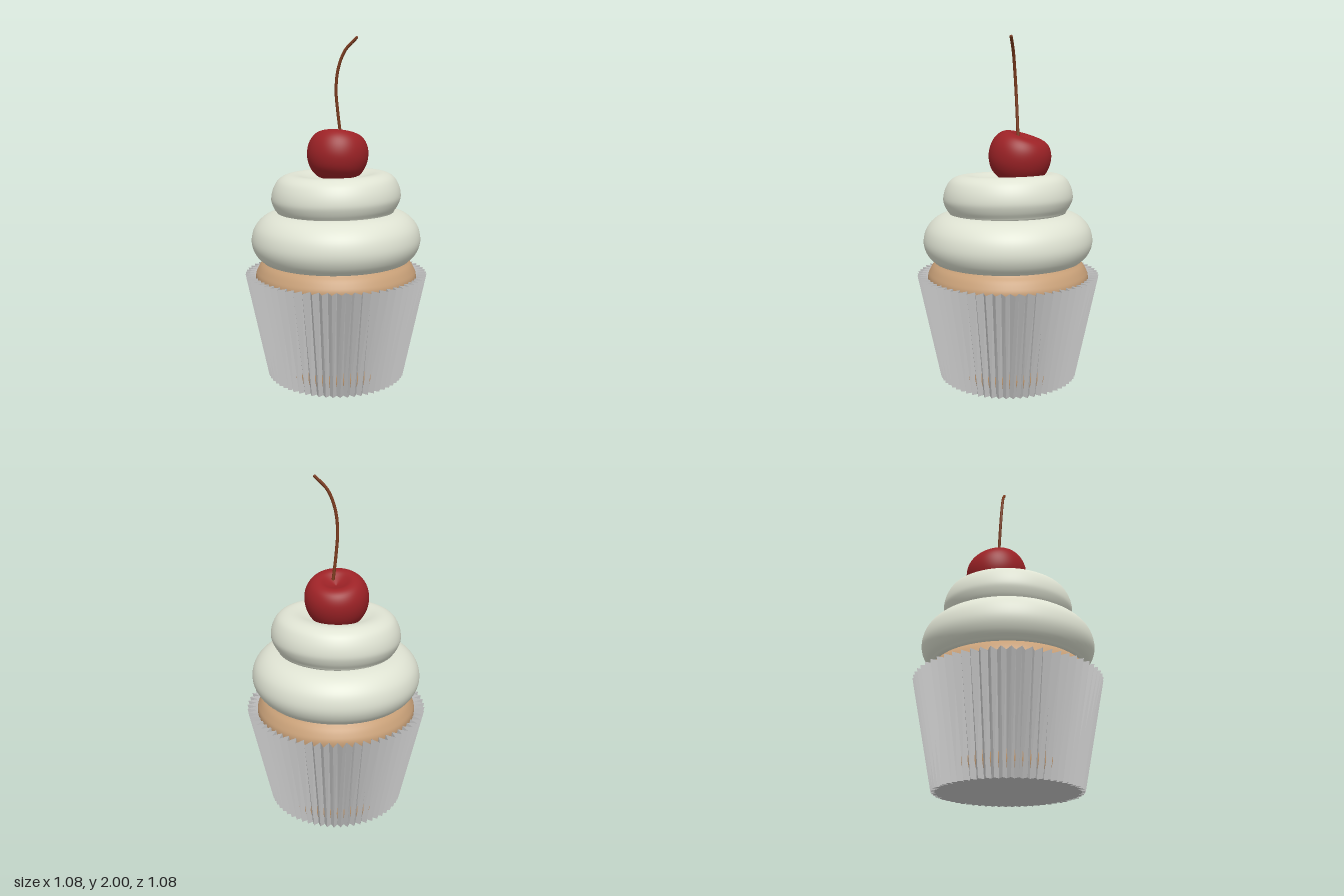
import * as THREE from 'three';

const material = (color, extra = {}) =>
  new THREE.MeshStandardMaterial({ color, ...extra });

// Smooth solid of revolution through a few [radius, height] points, bottom to top
function turned(name, points, mat, detail = 40) {
  const curve = new THREE.SplineCurve(points.map(([r, y]) => new THREE.Vector2(r, y)));
  const profile = curve.getPoints(detail).map(p => new THREE.Vector2(Math.max(p.x, 0), p.y));
  const mesh = new THREE.Mesh(new THREE.LatheGeometry(profile, 72), mat);
  mesh.name = name;
  return mesh;
}

// Lean a layer so that it rises gently towards +x and -z
function lean(mesh, slope) {
  const pos = mesh.geometry.attributes.position;
  for (let i = 0; i < pos.count; i++) {
    pos.setY(i, pos.getY(i) + slope * (pos.getX(i) - pos.getZ(i)));
  }
  mesh.geometry.computeBoundingSphere();
  return mesh;
}

// Pleated paper cup: zigzag rings joined by flat panels, with a flat base
function pleatedWrapper(pleats = 64) {
  const verts = [], faces = [];
  const n = pleats * 2;
  for (let i = 0; i < n; i++) {
    const a = (i / n) * Math.PI * 2;
    const outer = i % 2 === 0;
    const bottom = outer ? 0.41 : 0.38, top = outer ? 0.54 : 0.487;
    verts.push(bottom * Math.sin(a), 0, bottom * Math.cos(a));
    verts.push(top * Math.sin(a), 0.625, top * Math.cos(a));
  }
  verts.push(0, 0, 0);
  for (let i = 0; i < n; i++) {
    const a = 2 * i, b = 2 * ((i + 1) % n);
    faces.push(a, b, b + 1, a, b + 1, a + 1, 2 * n, b, a);
  }
  const geometry = new THREE.BufferGeometry();
  geometry.setAttribute('position', new THREE.Float32BufferAttribute(verts, 3));
  geometry.setIndex(faces);
  const flat = geometry.toNonIndexed();
  flat.computeVertexNormals();
  const mesh = new THREE.Mesh(flat,
    material(0xcccccc, { flatShading: true, side: THREE.DoubleSide }));
  mesh.name = 'wrapper';
  return mesh;
}

export function createModel() {
  const cupcake = new THREE.Group();
  cupcake.name = 'cupcake';
  cupcake.add(pleatedWrapper());

  // Sponge with a rounded shoulder above the paper rim
  cupcake.add(turned('sponge', [
    [0, 0.02], [0.36, 0.02], [0.41, 0.25], [0.46, 0.5], [0.478, 0.6],
    [0.465, 0.65], [0.43, 0.695], [0.36, 0.725], [0, 0.74],
  ], material(0xc8a078)));

  // Two plump rings of frosting, the upper one dished under the cherry
  const cream = material(0xdfe3d3);
  cupcake.add(lean(turned('lowerFrosting', [
    [0, 0.7], [0.38, 0.7], [0.45, 0.72], [0.488, 0.77], [0.5, 0.83], [0.482, 0.9],
    [0.435, 0.955], [0.37, 0.985], [0.28, 0.99], [0, 0.97],
  ], cream), 0.008));
  cupcake.add(lean(turned('upperFrosting', [
    [0, 0.96], [0.3, 0.97], [0.35, 1.0], [0.377, 1.05], [0.381, 1.09], [0.368, 1.14],
    [0.34, 1.185], [0.295, 1.21], [0.24, 1.213], [0.16, 1.195], [0, 1.17],
  ], cream), 0.025));

  // Cherry, tipped backwards, with a dimple for the stem
  const cherry = turned('cherry', [
    [0, -0.16], [0.07, -0.152], [0.135, -0.115], [0.172, -0.055], [0.183, 0.01],
    [0.172, 0.07], [0.14, 0.115], [0.095, 0.13], [0.05, 0.112], [0, 0.09],
  ], material(0x9c2226));
  cherry.position.set(0, 1.315, -0.068);
  cherry.rotation.set(-0.3, 0, -0.06);
  cupcake.add(cherry);

  // Curved stem with a rounded tip
  const brown = material(0x7a3a1c);
  const path = new THREE.CatmullRomCurve3([
    [0.027, 1.37, -0.063], [0.017, 1.45, -0.06], [0.002, 1.58, -0.053], [-0.006, 1.7, -0.046],
    [0.008, 1.82, -0.04], [0.048, 1.92, -0.036], [0.115, 1.991, -0.032],
  ].map(p => new THREE.Vector3(...p)));
  const stem = new THREE.Mesh(new THREE.TubeGeometry(path, 48, 0.009, 10), brown);
  stem.name = 'stem';
  const tip = new THREE.Mesh(new THREE.SphereGeometry(0.009, 10, 8), brown);
  tip.name = 'stemTip';
  tip.position.copy(path.getPoint(1));
  cupcake.add(stem, tip);

  return cupcake;
}
